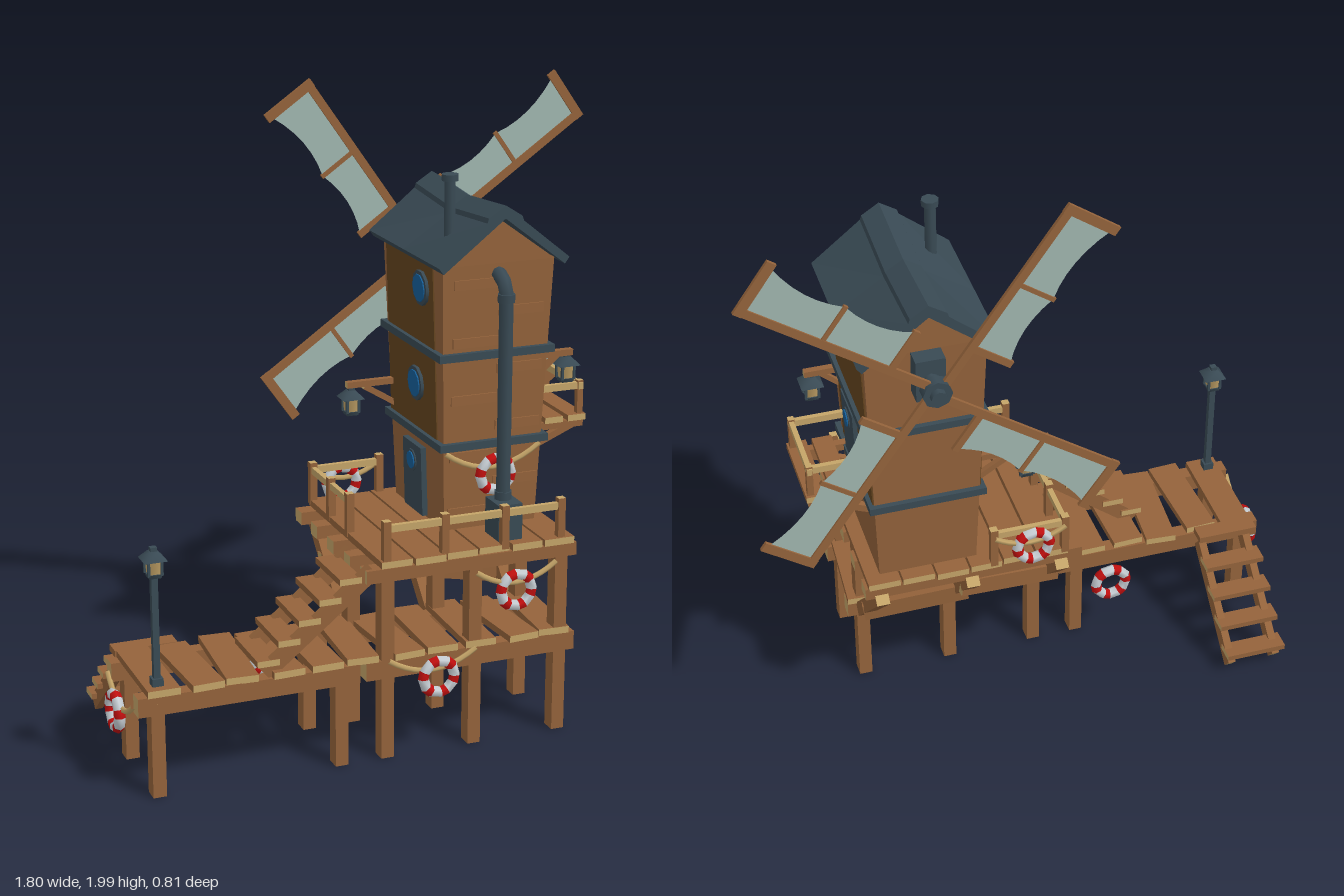
import * as THREE from 'three';

const mat = (name, color, side = THREE.FrontSide) => {
  const m = new THREE.MeshStandardMaterial({ color, side });
  m.name = name;
  return m;
};

export function createModel() {
  const root = new THREE.Group();
  root.name = 'harbourWindmill';
  const wood = mat('wood', 0x94633b);
  const darkWood = mat('darkWood', 0x65441f);
  const tan = mat('endGrain', 0xc4a468);
  const slate = mat('slate', 0x394a54);
  const cloth = mat('sailCloth', 0xa0b6af, THREE.DoubleSide);
  const blue = mat('windowBlue', 0x17609a);
  const white = mat('ringWhite', 0xc9d0d6);
  const red = mat('ringRed', 0xc41010);
  const timber = [wood, wood, wood, wood, tan, tan];
  const V = (x, y, z) => new THREE.Vector3(x, y, z);

  const add = (name, geo, m, x = 0, y = 0, z = 0, parent = root) => {
    const mesh = new THREE.Mesh(geo, m);
    mesh.name = name;
    mesh.position.set(x, y, z);
    parent.add(mesh);
    return mesh;
  };
  const box = (name, m, x, y, z, w, h, d, parent) =>
    add(name, new THREE.BoxGeometry(w, h, d), m, x, y, z, parent);
  const cyl = (name, m, x, y, z, r0, r1, h, n = 8, parent = root) =>
    add(name, new THREE.CylinderGeometry(r0, r1, h, n).toNonIndexed(), m, x, y, z, parent);
  // Timber from a to b with light end grain
  const beam = (name, a, b, w, h, m = timber, parent = root) => {
    const mesh = box(name, m, 0, 0, 0, w, h, a.distanceTo(b), parent);
    mesh.position.copy(a).lerp(b, 0.5);
    mesh.lookAt(b);
    return mesh;
  };
  const rope = (name, a, b, sag) => {
    const mid = a.clone().lerp(b, 0.5).add(V(0, -2 * sag, 0));
    add(name, new THREE.TubeGeometry(new THREE.QuadraticBezierCurve3(a, mid, b), 10, 0.009, 5), tan);
  };

  // Lower dock
  for (const z of [0.055, 0.34]) {
    beam('dockBeam', V(-0.88, 0.295, z), V(-0.18, 0.295, z), 0.05, 0.06);
    beam('dockBeam', V(-0.16, 0.295, z), V(0.54, 0.295, z), 0.05, 0.06);
    for (const x of [-0.82, -0.24]) beam('dockPost', V(x, 0, z), V(x, 0.3, z), 0.042, 0.05);
    for (const x of [-0.09, 0.2, 0.49]) beam('deckPost', V(x, 0, z), V(x, 0.59, z), 0.042, 0.05);
  }
  for (let i = 0; i < 11; i++) {
    const x = -0.8 + i * 0.128, t = Math.sin(i * 2.3) * 0.012;
    beam('dockPlank', V(x - t, 0.335, 0.03 + t), V(x + t, 0.335, 0.37 + t * 0.4), 0.1, 0.022);
  }

  // Upper deck
  for (const z of [0.34, 0.2, 0.06, -0.085, -0.225])
    beam('deckBeam', V(-0.16, 0.602, z), V(0.54, 0.602, z), 0.055, 0.042);
  for (let i = 0; i < 6; i++) {
    const x = -0.06 + i * 0.108, t = Math.sin(i * 1.7) * 0.006;
    beam('deckPlank', V(x, 0.633, -0.265 + t), V(x, 0.633, 0.365 + t), 0.1, 0.022);
  }
  // Rear braces and their cross bars
  for (const x of [-0.09, 0.2, 0.49])
    beam('rearBrace', V(x, 0.3, 0.02), V(x, 0.585, -0.26), 0.042, 0.045);
  beam('braceBar', V(-0.11, 0.465, -0.16), V(0.22, 0.51, -0.2), 0.025, 0.06);
  beam('braceBar', V(0.18, 0.42, -0.12), V(0.51, 0.37, -0.07), 0.025, 0.06);

  // Stairs up to the deck
  for (const z of [0.165, 0.34])
    beam('stairRail', V(-0.48, 0.335, z), V(-0.13, 0.615, z), 0.025, 0.05);
  for (let i = 0; i < 5; i++) {
    const x = -0.47 + i * 0.066;
    beam('stairTread', V(x, 0.37 + i * 0.056, 0.145), V(x, 0.37 + i * 0.056, 0.355), 0.07, 0.02);
  }
  // Stairs down to the water
  for (const x of [-0.825, -0.67])
    beam('waterStairRail', V(x, 0.03, -0.31), V(x, 0.3, 0.01), 0.025, 0.05);
  for (let i = 0; i < 4; i++) {
    const z = -0.295 + i * 0.075, y = 0.07 + i * 0.066;
    beam('waterStairTread', V(-0.855, y, z), V(-0.655, y, z), 0.065, 0.018);
  }
  box('landingPlank', wood, -0.755, 0.335, 0.005, 0.2, 0.022, 0.06);

  // Deck railings
  const fence = pts => {
    for (const [x, z] of pts) beam('railPost', V(x, 0.63, z), V(x, 0.77, z), 0.024, 0.024);
    for (let i = 1; i < pts.length; i++) {
      const [a, b] = [pts[i - 1], pts[i]];
      beam('handRail', V(a[0], 0.745, a[1]), V(b[0], 0.745, b[1]), 0.016, 0.022, tan);
    }
  };
  fence([[-0.09, 0.35], [0.1, 0.35], [0.3, 0.35], [0.49, 0.35]]);
  fence([[0.13, -0.255], [-0.1, -0.255], [-0.1, -0.09], [-0.1, 0.07]]);

  // Tower that widens upward, and its gable
  const cx = 0.33, cz = -0.02, y0 = 0.64, y1 = 1.5;
  const halfX = y => 0.155 + 0.03 * (y - y0) / (y1 - y0);
  const halfZ = y => 0.195 + 0.04 * (y - y0) / (y1 - y0);
  const body = new THREE.BoxGeometry(2, y1 - y0, 2);
  const p = body.attributes.position;
  for (let i = 0; i < p.count; i++) {
    const y = p.getY(i) + (y0 + y1) / 2;
    p.setXYZ(i, cx + p.getX(i) * halfX(y), y, cz + p.getZ(i) * halfZ(y));
  }
  body.computeVertexNormals();
  add('towerWalls', body, wood);
  const gable = new THREE.Shape([[-0.185, 0], [0.185, 0], [0, 0.135]].map(q => new THREE.Vector2(...q)));
  add('gable', new THREE.ExtrudeGeometry(gable, { depth: 0.47, bevelEnabled: false }), wood, cx, 1.495, cz - 0.235);
  for (const y of [0.92, 1.21])
    box('towerBand', slate, cx, y, cz, 2 * halfX(y) + 0.035, 0.024, 2 * halfZ(y) + 0.035);
  for (let i = 0; i < 9; i++) {
    const y = 0.7 + i * 0.092, x = cx + (i % 2 ? 0.08 : -0.07);
    if (Math.abs(y - 0.92) > 0.03 && Math.abs(y - 1.21) > 0.03)
      box('wallBoard', wood, x, y, cz + halfZ(y), 0.15, 0.03, 0.012);
  }

  // Details lying on the leaning side walls, s = +1 or -1
  const sideMount = (name, s, y, z) => {
    const g = new THREE.Group();
    g.name = name;
    g.position.set(cx + s * halfX(y), y, z);
    g.rotation.z = -s * 0.035;
    root.add(g);
    return g;
  };
  const porthole = (g, s, x, y, r) => {
    cyl('windowFrame', slate, s * x, y, 0, r, r, 0.016, 10, g).rotation.z = Math.PI / 2;
    cyl('windowGlass', blue, s * (x + 0.008), y, 0, r * 0.78, r * 0.78, 0.008, 10, g).rotation.z = Math.PI / 2;
  };
  for (const s of [1, -1]) {
    for (const [y, h] of [[1.065, 0.265], [1.357, 0.27]])
      box('sidePanel', darkWood, 0, 0, 0, 0.008, h, 0.37, sideMount('sideWall', s, y, -0.04));
    porthole(sideMount('upperWindow', s, 1.4, 0.06), s, 0.006, 0, 0.056);
    const door = sideMount('door', s, s > 0 ? 1.068 : 0.765, -0.025);
    box('doorLeaf', slate, s * 0.006, 0, 0, 0.024, 0.225, 0.145, door);
    porthole(door, s, 0.014, 0.055, 0.036);
  }
  porthole(sideMount('middleWindow', -1, 1.08, 0.0), -1, 0.006, 0, 0.056);

  // Sagging roof
  const roofShape = new THREE.Shape([[-0.215, 0], [-0.2, -0.02], [0, 0.135], [0.2, -0.02], [0.215, 0],
    [0.06, 0.125], [0.055, 0.14], [0, 0.175], [-0.055, 0.14], [-0.06, 0.125]].map(q => new THREE.Vector2(...q)));
  const roof = new THREE.ExtrudeGeometry(roofShape, { depth: 0.56, steps: 2, bevelEnabled: false });
  const rp = roof.attributes.position;
  for (let i = 0; i < rp.count; i++)
    if (Math.abs(rp.getZ(i) - 0.28) < 0.01 && rp.getY(i) > 0.1) rp.setY(i, rp.getY(i) - 0.022);
  roof.computeVertexNormals();
  add('roof', roof, slate, cx, 1.505, -0.302);
  cyl('chimney', slate, 0.21, 1.65, 0.115, 0.018, 0.018, 0.2);
  cyl('chimneyCap', slate, 0.21, 1.748, 0.115, 0.027, 0.027, 0.02);

  // Stove pipe on the front
  box('pipeBase', slate, cx, 0.7, 0.28, 0.08, 0.12, 0.1);
  const pipePath = new THREE.CurvePath();
  pipePath.add(new THREE.LineCurve3(V(cx, 0.7, 0.272), V(cx, 1.4, 0.272)));
  pipePath.add(new THREE.QuadraticBezierCurve3(V(cx, 1.4, 0.272), V(cx, 1.46, 0.272), V(cx, 1.465, 0.19)));
  add('stovePipe', new THREE.TubeGeometry(pipePath, 24, 0.023, 8), slate);
  for (const y of [0.775, 1.4]) cyl('pipeCollar', slate, cx, y, 0.272, 0.028, 0.028, 0.025);

  // Sail wheel at the back
  const hubY = 1.425;
  box('shaftHousing', slate, cx, hubY, -0.275, 0.09, 0.14, 0.07);
  cyl('shaft', slate, cx, hubY, -0.33, 0.025, 0.025, 0.15).rotation.x = Math.PI / 2;
  cyl('hub', slate, cx, hubY, -0.365, 0.045, 0.045, 0.04).rotation.x = Math.PI / 2;
  const sail = new THREE.Shape();
  sail.moveTo(0.17, 0.015);
  sail.lineTo(0.665, 0.015);
  sail.lineTo(0.665, 0.165);
  sail.quadraticCurveTo(0.53, 0.105, 0.405, 0.14);
  sail.quadraticCurveTo(0.28, 0.1, 0.17, 0.15);
  for (let k = 0; k < 4; k++) {
    const blade = new THREE.Group();
    blade.name = 'blade';
    blade.position.set(cx, hubY, -0.367);
    blade.rotation.z = (35 + 90 * k) * Math.PI / 180;
    root.add(blade);
    box('spar', wood, 0.34, 0.01, 0, 0.68, 0.026, 0.012, blade);
    box('tipBar', wood, 0.67, 0.088, 0, 0.03, 0.185, 0.012, blade);
    box('middleBar', wood, 0.405, 0.072, 0, 0.014, 0.145, 0.01, blade);
    box('innerBar', wood, 0.17, 0.077, 0, 0.022, 0.155, 0.012, blade);
    add('sail', new THREE.ShapeGeometry(sail, 6), cloth, 0, 0, 0, blade);
  }

  // Balcony
  for (const x of [0.575, 0.655]) beam('balconyPlank', V(x, 0.942, -0.16), V(x, 0.942, 0.12), 0.062, 0.02);
  for (const z of [-0.14, 0.1]) {
    beam('balconyBeam', V(0.47, 0.922, z), V(0.68, 0.922, z), 0.026, 0.024);
    beam('balconyBrace', V(0.48, 0.85, z), V(0.66, 0.925, z), 0.022, 0.022);
    beam('balconyPost', V(0.67, 0.94, z), V(0.67, 1.06, z), 0.02, 0.02);
    beam('balconyRail', V(0.49, 1.043, z), V(0.68, 1.043, z), 0.016, 0.022, tan);
  }
  beam('balconyRail', V(0.67, 1.043, -0.155), V(0.67, 1.043, 0.115), 0.016, 0.022, tan);

  // Lanterns
  const lantern = (x, y, z) => {
    const g = new THREE.Group();
    g.name = 'lantern';
    g.position.set(x, y, z);
    root.add(g);
    const part = (name, m, py, r0, r1, h) => { cyl(name, m, 0, py, 0, r0, r1, h, 4, g).rotation.y = Math.PI / 4; };
    part('lanternRoof', slate, 0.034, 0.018, 0.05, 0.026);
    part('lanternGlass', tan, 0, 0.03, 0.024, 0.045);
    part('lanternFoot', slate, -0.028, 0.03, 0.026, 0.012);
    box('lanternTop', slate, 0, 0.052, 0, 0.02, 0.014, 0.02, g);
    for (const sx of [-1, 1]) for (const sz of [-1, 1])
      box('lanternBar', slate, sx * 0.02, 0, sz * 0.02, 0.008, 0.05, 0.008, g);
  };
  box('lampPole', slate, -0.81, 0.515, 0.325, 0.02, 0.35, 0.02);
  box('lampFoot', slate, -0.81, 0.355, 0.325, 0.034, 0.03, 0.034);
  lantern(-0.81, 0.72, 0.325);
  lantern(0.59, 1.115, 0.16);
  beam('lanternArm', V(0.48, 1.175, 0.16), V(0.61, 1.175, 0.16), 0.022, 0.02);
  beam('lanternBrace', V(0.49, 1.11, 0.16), V(0.56, 1.17, 0.16), 0.016, 0.016);
  lantern(0.015, 0.965, -0.21);
  beam('lanternArm', V(0.0, 1.03, -0.21), V(0.2, 1.03, -0.21), 0.022, 0.02);
  beam('lanternBrace', V(0.06, 1.02, -0.21), V(0.19, 0.94, -0.21), 0.018, 0.018);

  // Life rings, white with red bands
  const ring = (x, y, z, turn = 0) => {
    const g = new THREE.Group();
    g.name = 'lifeRing';
    g.position.set(x, y, z);
    g.rotation.y = turn;
    root.add(g);
    for (let i = 0; i < 6; i++) {
      const a = i * Math.PI / 3;
      const w = add('ringWhitePart', new THREE.TorusGeometry(0.052, 0.018, 6, 1, Math.PI / 5), white, 0, 0, 0, g);
      w.rotation.z = a;
      const r = add('ringRedPart', new THREE.TorusGeometry(0.052, 0.0185, 6, 1, Math.PI * 2 / 15), red, 0, 0, 0, g);
      r.rotation.z = a + Math.PI / 5;
    }
  };
  ring(-0.345, 0.23, -0.02);
  ring(-0.893, 0.205, 0.155, Math.PI / 2);
  ring(0.07, 0.255, 0.387);
  ring(0.335, 0.495, 0.37);
  ring(0.005, 0.685, -0.268);
  ring(0.335, 0.82, 0.205);
  rope('ringRope', V(-0.09, 0.325, 0.372), V(0.2, 0.325, 0.372), 0.05);
  rope('ringRope', V(0.2, 0.57, 0.368), V(0.47, 0.57, 0.368), 0.05);
  rope('ringRope', V(0.17, 0.9, 0.19), V(0.49, 0.9, 0.19), 0.06);
  rope('ringRope', V(-0.1, 0.74, -0.268), V(0.13, 0.74, -0.268), 0.04);
  rope('ringRope', V(-0.885, 0.29, 0.055), V(-0.885, 0.29, 0.33), 0.06);
  return root;
}
